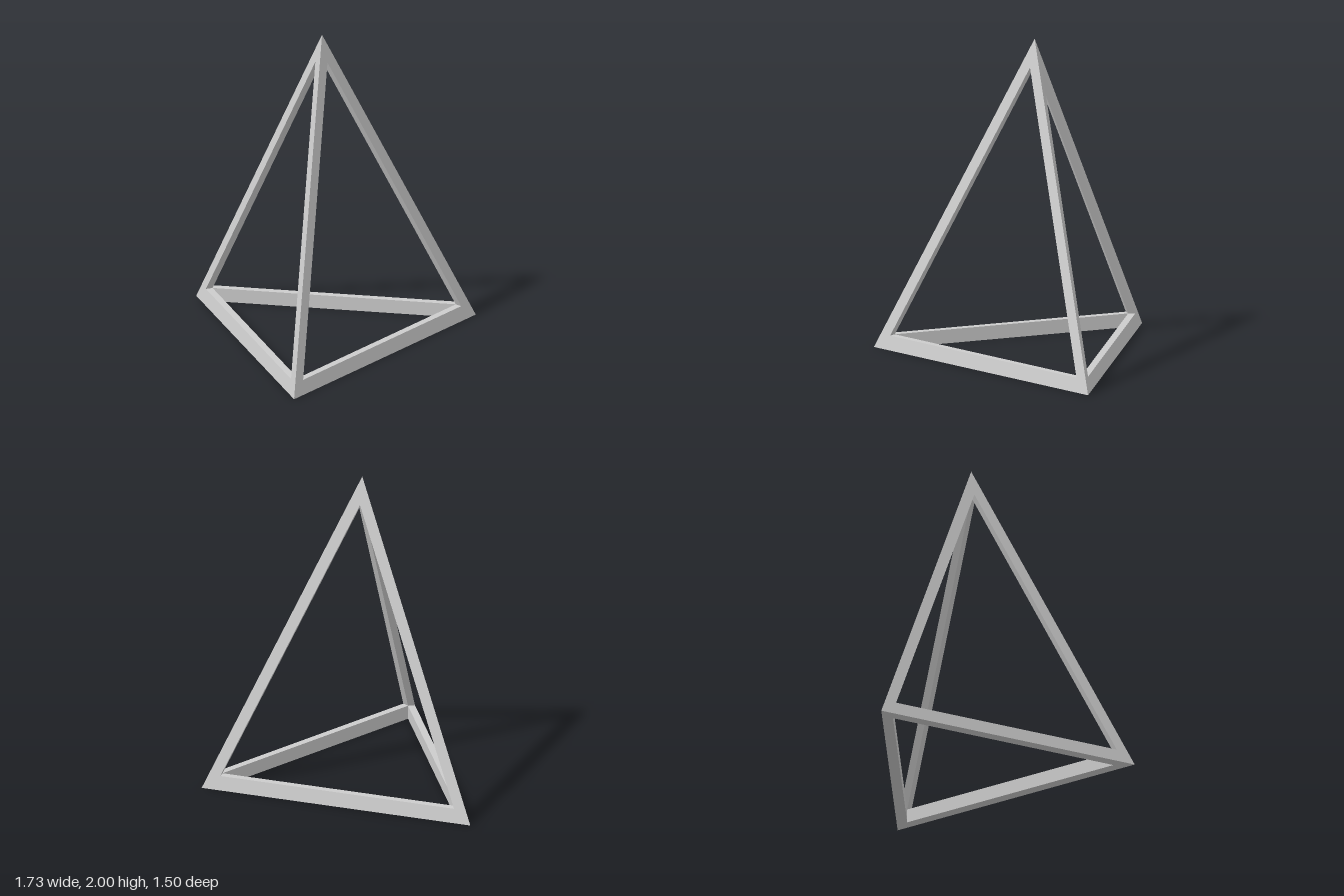
import * as THREE from 'three';

const INSET = 0.87; // size of each opening relative to its face

// Corners of the pyramid
const frontRight = new THREE.Vector3(-0.866, 0, 0.75);
const frontLeft = new THREE.Vector3(0.866, 0, 0.75);
const back = new THREE.Vector3(0, 0, -0.75);
const apex = new THREE.Vector3(0, 2, 0.25);
const core = new THREE.Vector3(0, 2 / 3, 0.25); // centre the hollow shrinks towards

const centroid = (...pts) =>
  pts.reduce((sum, p) => sum.add(p), new THREE.Vector3()).divideScalar(pts.length);
const shrink = (p, centre) => centre.clone().lerp(p, INSET);

// Four-sided mitred bar along edge a-b; c and d are the other two corners
function bar(name, a, b, c, d) {
  const ab = b.clone().sub(a), ac = c.clone().sub(a), ad = d.clone().sub(a);
  if (ab.clone().cross(ac).dot(ad) < 0) [c, d] = [d, c];
  const f1 = centroid(a, b, c), f2 = centroid(a, b, d);

  // Outer edge, opening edge, inner edge, other opening edge
  const section = (p) => [p, shrink(p, f1), shrink(p, core), shrink(p, f2)];
  const s = section(a), e = section(b);
  const points = [];
  for (let i = 0; i < 4; i++) {
    const j = (i + 1) % 4;
    points.push(s[i], s[j], e[j], s[i], e[j], e[i]);
  }
  const geometry = new THREE.BufferGeometry().setFromPoints(points);
  geometry.computeVertexNormals();
  const mesh = new THREE.Mesh(
    geometry,
    new THREE.MeshStandardMaterial({ color: 0xcccccc, flatShading: true })
  );
  mesh.name = name;
  return mesh;
}

export function createModel() {
  const model = new THREE.Group();
  model.name = 'pyramidFrame';

  // Base triangle
  const base = new THREE.Group();
  base.name = 'base';
  base.add(
    bar('frontRail', frontRight, frontLeft, back, apex),
    bar('leftRail', frontLeft, back, frontRight, apex),
    bar('rightRail', back, frontRight, frontLeft, apex)
  );

  // Sloping legs that meet at the apex
  const legs = new THREE.Group();
  legs.name = 'legs';
  legs.add(
    bar('frontRightLeg', frontRight, apex, frontLeft, back),
    bar('frontLeftLeg', frontLeft, apex, back, frontRight),
    bar('backLeg', back, apex, frontRight, frontLeft)
  );

  model.add(base, legs);
  return model;
}
